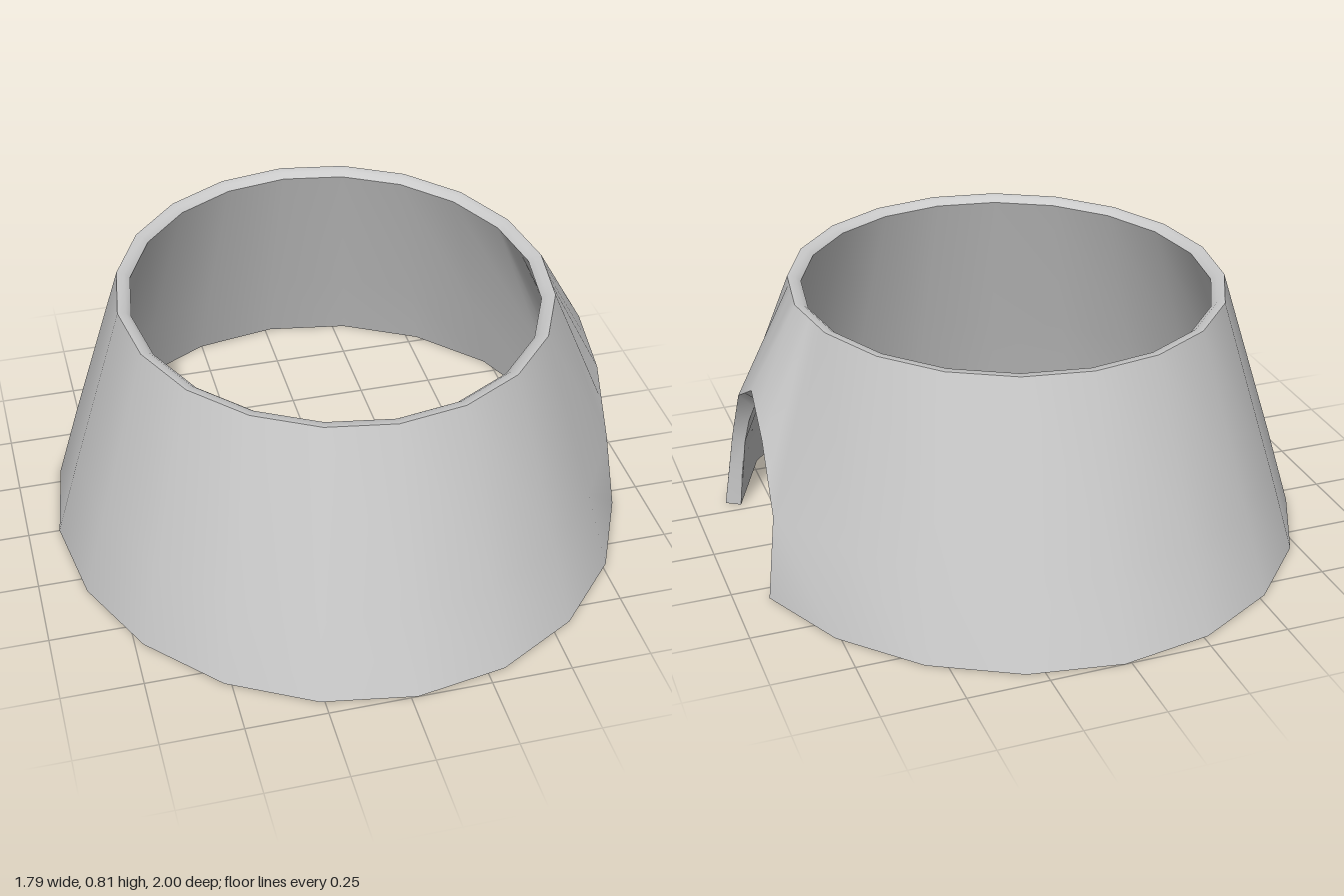
import * as THREE from 'three';
import { toCreasedNormals } from 'three/addons/utils/BufferGeometryUtils.js';

const CX = 0.02, ASPECT = 0.92, STEP = Math.PI / 10;

// Point on an oval ring: r is the half depth in z, k the 20-sided step
const ring = (r, y, k) => new THREE.Vector3(
  CX + r * ASPECT * Math.cos(k * STEP), y, r * Math.sin(k * STEP));

// Half of the arch from its foot to the apex: outer edge [x, y, z], inner edge [x, y, z]
const ARCH = [
  [[0.895, 0, 0.309], [0.85, 0, 0.28]],
  [[0.878, 0.13, 0.295], [0.84, 0.13, 0.268]],
  [[0.862, 0.26, 0.28], [0.83, 0.25, 0.24]],
  [[0.859, 0.36, 0.22], [0.82, 0.345, 0.2]],
  [[0.856, 0.46, 0.16], [0.81, 0.415, 0.15]],
  [[0.851, 0.505, 0.08], [0.80, 0.463, 0.08]],
  [[0.846, 0.55, 0], [0.79, 0.48, 0]],
];
const archPoint = (i, side, sign) => {
  const [x, y, z] = ARCH[i][side];
  return new THREE.Vector3(x, y, z * sign);
};

// Wall cross-section: up the outside, over the rim, down the inside
function section(k, outer, inner) {
  // between whole steps the rim follows the straight chord
  const rim = (r, y) => ring(r, y, Math.floor(k)).lerp(ring(r, y, Math.ceil(k)), k - Math.floor(k));
  return [outer[0], outer[1], rim(0.735, 0.812), rim(0.708, 0.81), rim(0.69, 0.795), inner[1], inner[0]];
}

function wallSections() {
  const sections = [];
  // plain wall from one foot of the arch round to the other
  for (let k = 1; k <= 19; k++) {
    const foot = k === 1 || k === 19, sign = k === 1 ? 1 : -1;
    const edge = side => foot
      ? [archPoint(0, side, sign), archPoint(2, side, sign)]
      : [ring(side ? 0.955 : 1, 0, k), ring(side ? 0.875 : 0.918, 0.26, k)];
    sections.push(section(k, edge(0), edge(1)));
  }
  // wall above the arch, up one side and down the other
  for (let j = 1; j <= 11; j++) {
    const i = j <= 6 ? j : 12 - j, sign = j <= 6 ? -1 : 1;
    const k = sign * (1 - Math.max(0, i - 2) / 4);
    const edge = side => [archPoint(i, side, sign), archPoint(Math.max(i, 2), side, sign)];
    sections.push(section(k, edge(0), edge(1)));
  }
  return sections;
}

// Joins the closed sections into a closed ring, leaving out collapsed triangles
function loft(sections) {
  const positions = [];
  const triangle = (a, b, c) => {
    if (new THREE.Triangle(a, b, c).getArea() < 1e-7) return;
    for (const p of [a, b, c]) positions.push(p.x, p.y, p.z);
  };
  sections.forEach((s, i) => {
    const t = sections[(i + 1) % sections.length];
    for (let j = 0; j < s.length; j++) {
      const n = (j + 1) % s.length;
      triangle(s[j], s[n], t[n]);
      triangle(s[j], t[n], t[j]);
    }
  });
  const geometry = new THREE.BufferGeometry();
  geometry.setAttribute('position', new THREE.Float32BufferAttribute(positions, 3));
  return toCreasedNormals(geometry, 0.75);
}

export function createModel() {
  const group = new THREE.Group();
  group.name = 'archedCollar';
  const wall = new THREE.Mesh(
    loft(wallSections()),
    new THREE.MeshStandardMaterial({ color: 0xcccccc, side: THREE.DoubleSide }));
  wall.name = 'taperedWall';
  group.add(wall);
  return group;
}
